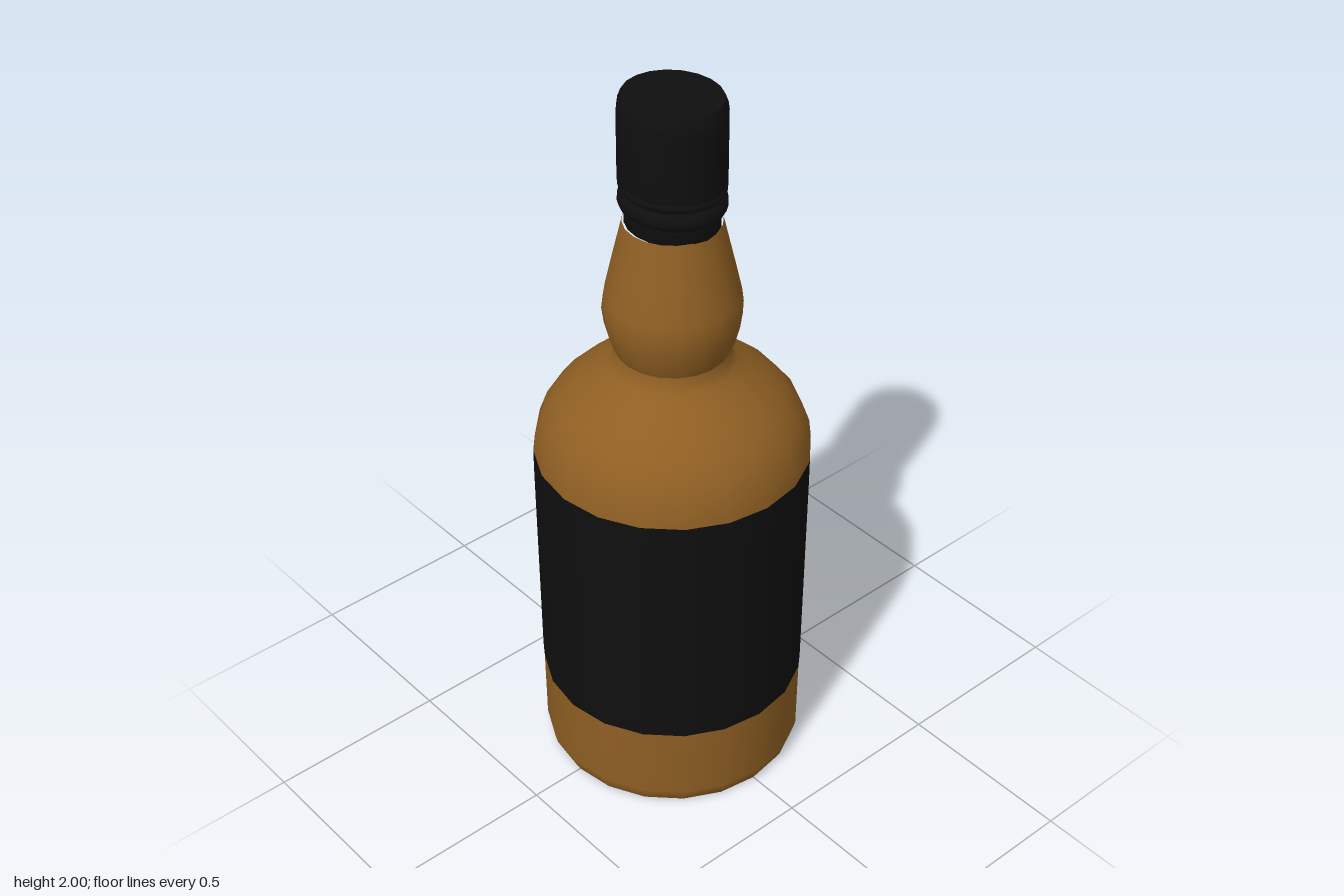
import * as THREE from 'three';

const SIDES = 20;
const glass = new THREE.MeshStandardMaterial({ color: 0x8f5f23 });
const black = new THREE.MeshStandardMaterial({ color: 0x0f0f0f });

// Turned part from [radius, height] pairs, listed bottom to top
function turned(name, profile, material) {
  const points = profile.map(([r, y]) => new THREE.Vector2(r, y));
  const mesh = new THREE.Mesh(new THREE.LatheGeometry(points, SIDES), material);
  mesh.name = name;
  return mesh;
}

// Flat end disc facing up or down
function disc(name, radius, y, up, material) {
  const mesh = new THREE.Mesh(new THREE.CircleGeometry(radius, SIDES), material);
  mesh.rotation.x = up ? -Math.PI / 2 : Math.PI / 2;
  mesh.position.y = y;
  mesh.name = name;
  return mesh;
}

export function createModel() {
  const bottle = new THREE.Group();
  bottle.name = 'bottle';

  // Glass body with a bevelled foot
  bottle.add(disc('base', 0.343, 0, false, glass));
  bottle.add(turned('lowerBody', [[0.343, 0], [0.352, 0.017], [0.358, 0.04], [0.36, 0.255]], glass));

  // Wrap-around label, slightly wider toward the top
  bottle.add(turned('label', [[0.36, 0.255], [0.362, 0.3], [0.366, 0.9], [0.366, 0.975]], black));

  // Domed shoulder
  bottle.add(turned('shoulder', [
    [0.366, 0.975], [0.36, 1.025], [0.338, 1.085], [0.3, 1.135], [0.25, 1.18],
    [0.19, 1.225], [0.165, 1.245], [0.153, 1.262], [0.148, 1.285],
  ], glass));

  // Bulbous neck
  bottle.add(turned('neck', [
    [0.148, 1.285], [0.161, 1.315], [0.174, 1.365], [0.18, 1.41],
    [0.175, 1.45], [0.152, 1.55], [0.126, 1.66],
  ], glass));

  // Cap with its collar ring, a little narrower front to back
  const cap = new THREE.Group();
  cap.name = 'cap';
  cap.add(turned('capSleeve', [[0.115, 1.655], [0.127, 1.655], [0.127, 1.695]], black));
  cap.add(turned('capRing', [
    [0.127, 1.695], [0.14, 1.705], [0.144, 1.72], [0.14, 1.735], [0.13, 1.743],
    [0.13, 1.752], [0.14, 1.757], [0.142, 1.765], [0.134, 1.773],
  ], black));
  cap.add(turned('capSide', [[0.134, 1.773], [0.143, 1.776], [0.143, 1.96], [0.14, 1.98], [0.132, 2]], black));
  cap.add(disc('capTop', 0.132, 2, true, black));
  cap.scale.z = 0.92;
  bottle.add(cap);

  return bottle;
}
